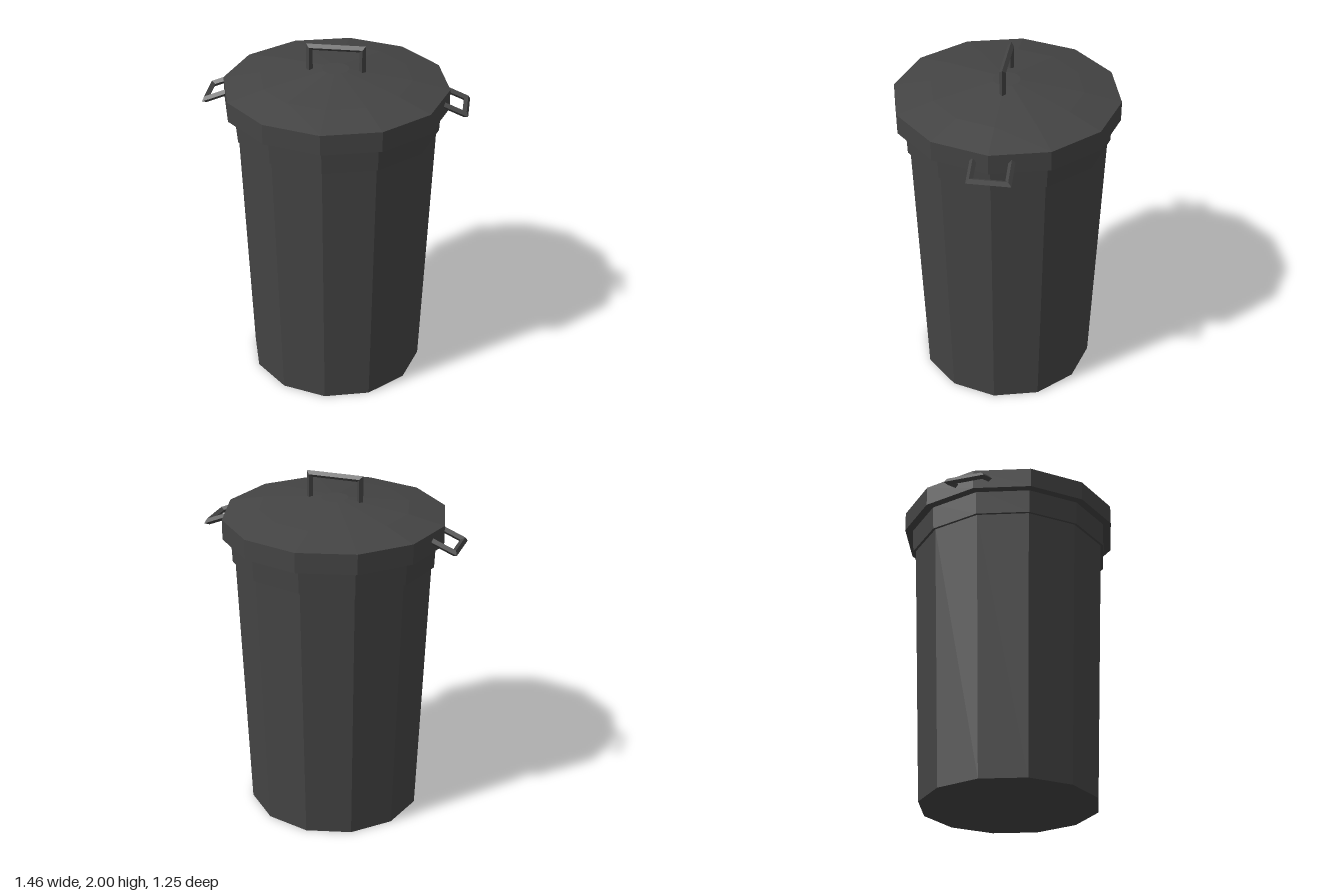
import * as THREE from 'three';

const SIDES = 12;

// Faceted turned part from [radius, height] pairs, listed bottom to top
function turned(name, profile, material) {
  const points = profile.map(([r, y]) => new THREE.Vector2(r, y));
  const mesh = new THREE.Mesh(new THREE.LatheGeometry(points, SIDES), material);
  mesh.name = name;
  return mesh;
}

// U-shaped bar with a diamond section and mitred corners, opening towards -y
function handleGeometry(halfWidth, height, r) {
  const stops = [[-1, 0], [-1, 1], [1, 1], [1, 0]];
  const positions = [], index = [];
  stops.forEach(([sx, sy], i) => {
    const x = sx * halfWidth, y = sy * height;
    positions.push(
      x + sx * r, y + sy * r, 0,
      x, y, r,
      x - sx * r, y - sy * r, 0,
      x, y, -r
    );
    if (i === 3) return;
    for (let j = 0; j < 4; j++) {
      const a = i * 4 + j, b = i * 4 + (j + 1) % 4;
      index.push(a, b, a + 4, b, b + 4, a + 4);
    }
  });
  const geometry = new THREE.BufferGeometry();
  geometry.setAttribute('position', new THREE.Float32BufferAttribute(positions, 3));
  geometry.setIndex(index);
  geometry.computeVertexNormals();
  return geometry;
}

export function createModel() {
  const model = new THREE.Group();
  model.name = 'trashCan';
  const plastic = new THREE.MeshStandardMaterial({ color: 0x444444, flatShading: true });

  // Tapered bin with closed base and a stepped collar
  model.add(turned('bin', [
    [0, 0], [0.5, 0], [0.558, 1.525], [0.573, 1.525], [0.58, 1.68]
  ], plastic));

  // Lid with a straight skirt and a shallow dome
  model.add(turned('lid', [
    [0.56, 1.66], [0.625, 1.66], [0.625, 1.773], [0.42, 1.815], [0.075, 1.862], [0, 1.862]
  ], plastic));

  // Lid handle
  const lidHandle = new THREE.Mesh(handleGeometry(0.145, 0.142, 0.018), plastic);
  lidHandle.name = 'lidHandle';
  lidHandle.position.y = 1.84;
  model.add(lidHandle);

  // Side handles, sloping down and away from the lid skirt
  const sideGeometry = handleGeometry(0.1, 0.166, 0.018);
  for (const side of [1, -1]) {
    const handle = new THREE.Mesh(sideGeometry, plastic);
    handle.name = side > 0 ? 'leftHandle' : 'rightHandle';
    const along = new THREE.Vector3(0, 0, 1);
    const out = new THREE.Vector3(side * 0.925, -0.38, 0).normalize();
    const normal = new THREE.Vector3().crossVectors(along, out);
    handle.quaternion.setFromRotationMatrix(new THREE.Matrix4().makeBasis(along, out, normal));
    handle.position.set(side * 0.56, 1.735, -0.017);
    model.add(handle);
  }

  return model;
}
